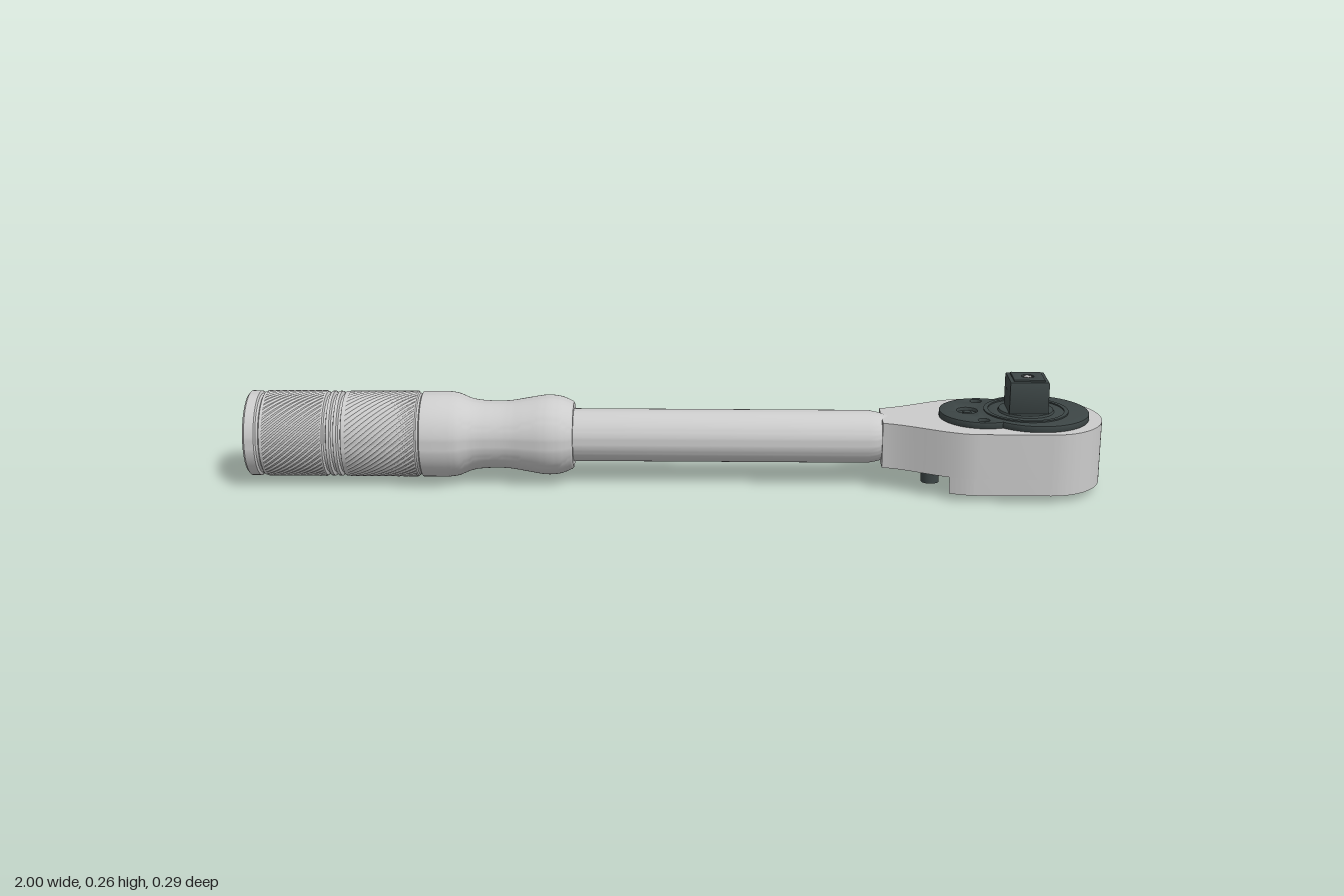
import * as THREE from 'three';
import { toCreasedNormals } from 'three/addons/utils/BufferGeometryUtils.js';

const AXIS_Y = 0.112; // height of the handle axis
const DRIVE_X = 0.822; // centre of the square drive
const grey = new THREE.MeshStandardMaterial({ color: 0xcccccc });
const dark = new THREE.MeshStandardMaterial({ color: 0x3c4545 });

// Turned part lying along x; profile points are [x, radius]
function turned(points, segments = 64) {
  const geo = new THREE.LatheGeometry(points.map(([x, r]) => new THREE.Vector2(r, x)), segments);
  return geo.rotateZ(-Math.PI / 2);
}

// Plan shape (x, z) raised from y0 to y1
function slab(shape, y0, y1, bevel = 0) {
  const geo = new THREE.ExtrudeGeometry(shape, {
    depth: y1 - y0 - 2 * bevel, curveSegments: 32,
    bevelEnabled: bevel > 0, bevelThickness: bevel, bevelSize: bevel, bevelOffset: -bevel, bevelSegments: 2,
  });
  geo.rotateX(-Math.PI / 2).translate(0, y0 + bevel, 0);
  return toCreasedNormals(geo, 0.55);
}

function disc(x, z, r, y0, y1, segments = 40, rTop = r) {
  return new THREE.CylinderGeometry(rTop, r, y1 - y0, segments).translate(x, (y0 + y1) / 2, z);
}

function hole(shape, x, z, r) {
  shape.holes.push(new THREE.Path().absarc(x, z, r, 0, Math.PI * 2, true));
}

// Half width of the head where it flares out of the shaft
const halfWidth = (x) => 0.058 + 0.085 * THREE.MathUtils.smoothstep(x, 0.46, 0.7);

// Head outline from x0 to the rounded tip; notch bows the near edge inwards
function headShape(x0, notch) {
  const shape = new THREE.Shape();
  const n = 16, end = 0.7;
  shape.moveTo(x0, -halfWidth(x0));
  for (let i = 1; i <= n; i++) {
    const x = x0 + (end - x0) * i / n;
    shape.lineTo(x, -halfWidth(x));
  }
  shape.lineTo(0.865, -0.143);
  shape.absellipse(0.865, 0, 0.133, 0.143, -Math.PI / 2, Math.PI / 2, false);
  for (let i = n; i >= 0; i--) {
    const x = x0 + (end - x0) * i / n;
    shape.lineTo(x, halfWidth(x));
  }
  if (notch) shape.quadraticCurveTo(x0 + notch * 2, 0, x0, -halfWidth(x0));
  return shape;
}

// Two overlapping circles form the lobed cover plate
function plateShape() {
  const cBig = 0.842, R = 0.126, cSmall = 0.72, r = 0.1, d = cBig - cSmall;
  const a = Math.PI - Math.acos((d * d + R * R - r * r) / (2 * d * R));
  const b = Math.acos((d * d + r * r - R * R) / (2 * d * r));
  const shape = new THREE.Shape();
  shape.absarc(cBig, 0, R, -a, a, false);
  shape.absarc(cSmall, 0, r, b, Math.PI * 2 - b, false);
  return shape;
}

// Knurled sleeve: alternating raised and sunken points
function knurl(x0, x1, rows) {
  const points = [];
  for (let i = 0; i <= rows; i++) points.push([x0 + (x1 - x0) * i / rows, 0.1]);
  const geo = turned(points, 96);
  const pos = geo.attributes.position;
  for (let i = 0; i < pos.count; i++) {
    const row = i % (rows + 1), col = Math.floor(i / (rows + 1));
    const k = (row + col) % 2 ? 1.012 : 0.99;
    pos.setY(i, pos.getY(i) * k);
    pos.setZ(i, pos.getZ(i) * k);
  }
  return toCreasedNormals(geo, 0.2);
}

export function createModel() {
  const group = new THREE.Group();
  const add = (name, geometry, material = grey, y = 0) => {
    const mesh = new THREE.Mesh(geometry, material);
    mesh.name = name;
    mesh.position.y = y;
    group.add(mesh);
    return mesh;
  };

  // Grip: end rim, ring grooves, then a waisted front with a bulge
  const grip = [[-1, 0], [-1, 0.094], [-0.995, 0.1], [-0.973, 0.1], [-0.97, 0.094], [-0.964, 0.094], [-0.961, 0.099],
    [-0.815, 0.099]];
  for (const x of [-0.812, -0.795, -0.778]) {
    grip.push([x, 0.092], [x + 0.005, 0.092], [x + 0.007, 0.1], [x + 0.014, 0.1]);
  }
  grip.push([-0.6, 0.099], [-0.597, 0.096], [-0.592, 0.096], [-0.589, 0.101]);
  const front = new THREE.SplineCurve([[-0.53, 0.101], [-0.505, 0.097], [-0.475, 0.085], [-0.44, 0.08], [-0.39, 0.08],
    [-0.345, 0.087], [-0.3, 0.094], [-0.265, 0.091], [-0.238, 0.08]].map((p) => new THREE.Vector2(...p)));
  for (const p of front.getPoints(40)) grip.push([p.x, p.y]);
  grip.push([-0.235, 0.076], [-0.235, 0.055]);
  add('grip', toCreasedNormals(turned(grip), 0.5), grey, AXIS_Y);
  add('rearKnurl', knurl(-0.955, -0.818, 18), grey, AXIS_Y);
  add('frontKnurl', knurl(-0.762, -0.602, 20), grey, AXIS_Y);

  // Shaft narrowing into the head
  add('shaft', toCreasedNormals(turned([[-0.25, 0.062], [0.455, 0.062], [0.475, 0.058], [0.5, 0.051], [0.53, 0.049],
    [0.53, 0]]), 0.5), grey, AXIS_Y);

  // Head: full upper body and a lower body cut back for the lever
  add('headUpper', slab(headShape(0.485, 0), 0.055, 0.163));
  const lower = headShape(0.635, 0.03);
  for (const z of [-0.082, 0.082]) hole(lower, 0.74, z, 0.018);
  add('headLower', slab(lower, 0.016, 0.055));

  // Cover plate with screw holes
  const plate = plateShape();
  const screws = [[0.685, 0, 0.024], [0.715, -0.077, 0.013], [0.715, 0.077, 0.013]];
  for (const [x, z, r] of screws) hole(plate, x, z, r);
  add('coverPlate', slab(plate, 0.162, 0.178, 0.002), dark);
  for (const [x, z, r] of screws) add('coverScrew', disc(x, z, r, 0.16, 0.17, 24), dark);
  add('centreScrewHead', disc(0.685, 0, 0.011, 0.165, 0.175, 6), dark);

  // Raised collar and square drive
  const collar = new THREE.Shape().absarc(DRIVE_X, 0, 0.098, 0, Math.PI * 2);
  hole(collar, DRIVE_X, 0, 0.088);
  add('driveCollar', slab(collar, 0.177, 0.181), dark);
  add('driveBase', disc(DRIVE_X, 0, 0.066, 0.176, 0.183, 48, 0.063), dark);
  const square = (h, x = DRIVE_X) => new THREE.Shape([[-h, -h], [h, -h], [h, h], [-h, h]]
    .map(([u, v]) => new THREE.Vector2(x + u, v)));
  add('squareDrive', slab(square(0.045), 0.176, 0.258, 0.003), dark);
  const tip = square(0.036);
  hole(tip, DRIVE_X, 0, 0.014);
  add('driveTip', slab(tip, 0.255, 0.262, 0.002), dark);
  add('releasePin', disc(DRIVE_X, 0, 0.009, 0.25, 0.261, 20));

  // Underside ring and release button
  const ring = new THREE.Shape().absarc(DRIVE_X, 0, 0.084, 0, Math.PI * 2);
  hole(ring, DRIVE_X, 0, 0.046);
  add('bottomRing', slab(ring, 0.01, 0.02, 0.002), dark);
  add('bottomRecess', disc(DRIVE_X, 0, 0.048, 0.013, 0.02), dark);
  add('releaseButton', disc(DRIVE_X, 0, 0.035, 0, 0.018, 40, 0.037));

  // Direction lever in the notch under the neck
  add('leverPivot', disc(0.6, 0, 0.03, 0.032, 0.058, 28), dark);
  add('leverArm', new THREE.BoxGeometry(0.03, 0.016, 0.075).translate(0.597, 0.044, 0.045), dark);
  add('leverKnob', disc(0.595, 0.08, 0.021, 0.03, 0.054, 24), dark);

  return group;
}
